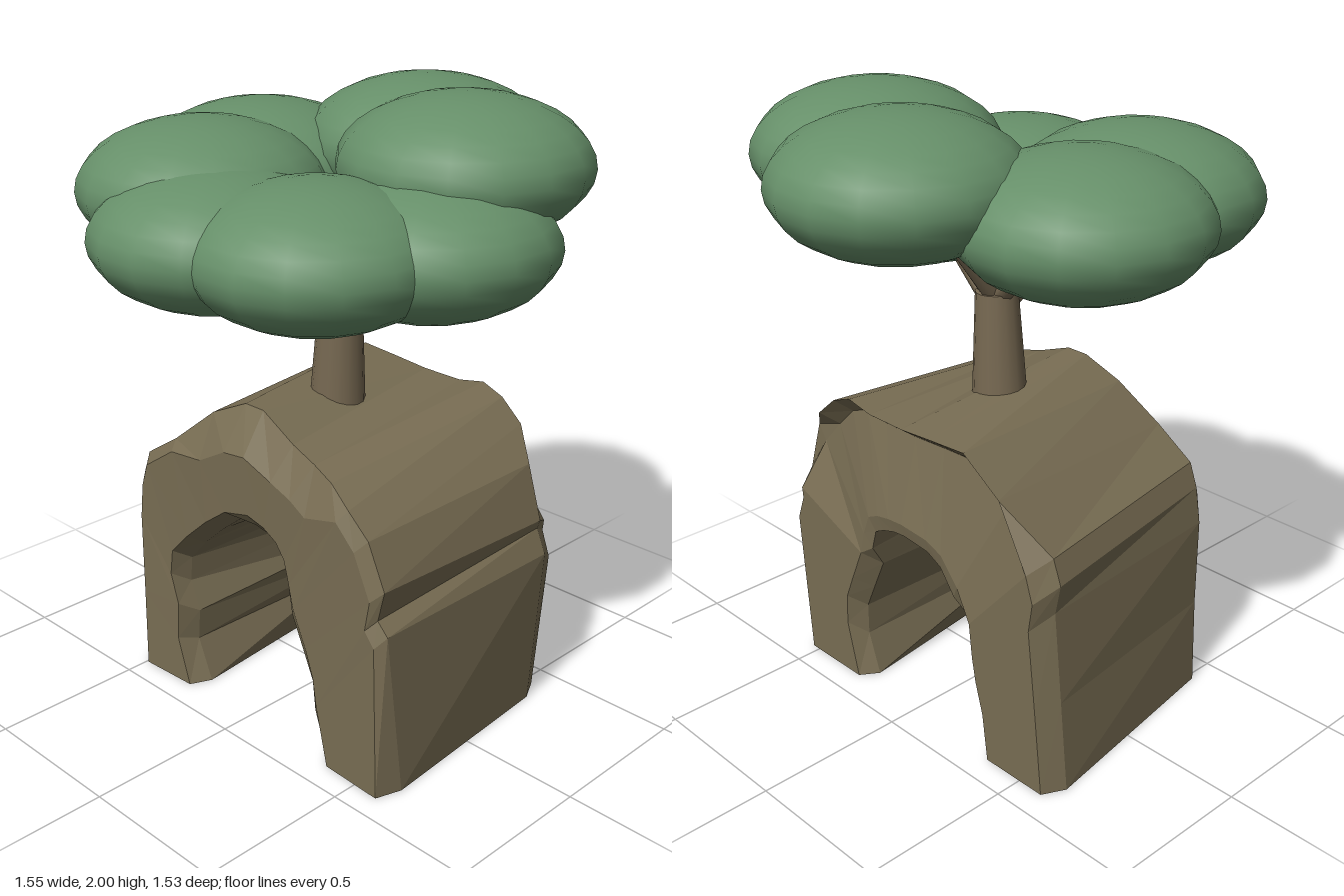
import * as THREE from 'three';

const mat = (name, color) => {
  const m = new THREE.MeshStandardMaterial({ color });
  m.name = name;
  return m;
};

// Tapered limb between two points
function limb(name, from, to, r0, r1, sides, material) {
  const a = new THREE.Vector3(...from), b = new THREE.Vector3(...to);
  const d = b.clone().sub(a);
  const mesh = new THREE.Mesh(new THREE.CylinderGeometry(r1, r0, d.length(), sides), material);
  mesh.position.copy(a).add(b).multiplyScalar(0.5);
  mesh.quaternion.setFromUnitVectors(new THREE.Vector3(0, 1, 0), d.normalize());
  mesh.name = name;
  return mesh;
}

// Arch outlines (x, y), running from the -x foot over the top to the +x foot
const outerFront = [[-.52, 0], [-.51, .3], [-.51, .6], [-.49, .72], [-.46, .8], [-.32, .89], [-.18, 1.01], [-.05, 1.07], [.03, 1.07],
  [.18, 1.01], [.28, .98], [.36, .95], [.45, .9], [.53, .83], [.595, .69], [.57, .59], [.61, .55], [.62, 0]];
const outerBack = [[-.63, 0], [-.6, .3], [-.57, .6], [-.59, .7], [-.56, .78], [-.4, .93], [-.25, 1.03], [-.1, 1.02], [.03, 1.01],
  [.18, 1.01], [.28, 1.03], [.36, 1], [.44, .93], [.53, .84], [.585, .66], [.575, .63], [.61, .55], [.57, 0]];
const innerFront = [[-.25, 0], [-.31, .14], [-.3, .25], [-.34, .35], [-.33, .44], [-.26, .52], [-.17, .6], [-.08, .67], [.03, .7],
  [.09, .69], [.14, .66], [.17, .61], [.18, .53], [.19, .45], [.24, .34], [.28, .25], [.29, .15], [.34, 0]];
const innerBack = [[-.32, 0], [-.3, .14], [-.27, .22], [-.25, .3], [-.24, .42], [-.2, .52], [-.14, .6], [-.08, .63], [.03, .64],
  [.08, .635], [.13, .62], [.17, .6], [.19, .53], [.2, .45], [.25, .34], [.29, .25], [.29, .14], [.24, 0]];

function archGeometry() {
  const mix = (a, b, t) => [a[0] + (b[0] - a[0]) * t, a[1] + (b[1] - a[1]) * t];
  const n = outerFront.length;
  // Each ring is one cut through the arch, with bevelled front and back rims
  const rings = outerFront.map((of, i) => {
    const ob = outerBack[i], nf = innerFront[i], nb = innerBack[i];
    const high = of[1] > 0.9;
    const lowZ = of[0] < 0 ? 0.395 : 0.335 + 0.06 * Math.min(1, of[1] / 0.5);
    return [
      [...ob, ob[1] > 0.9 ? -0.4 : -0.335],
      [...of, high ? 0.39 - (of[1] - 0.9) * 0.33 : lowZ],
      [...mix(of, nf, high ? 0.35 : 0.1), 0.42],
      [...mix(of, nf, 0.88), 0.41],
      [...nf, of[0] < 0 ? 0.34 : 0.375],
      [...nb, nb[1] > 0.5 ? -0.4 : -0.35],
      [...mix(ob, nb, 0.88), -0.41],
      [...mix(ob, nb, 0.12), ob[1] > 0.8 ? -0.34 : -0.41],
    ];
  });
  const rows = rings[0].length;
  const pos = [];
  const tri = (a, b, c) => pos.push(...a, ...b, ...c);
  for (let i = 0; i < n - 1; i++) {
    for (let r = 0; r < rows; r++) {
      const s = (r + 1) % rows;
      const a = rings[i][r], b = rings[i][s], c = rings[i + 1][s], d = rings[i + 1][r];
      tri(a, b, c);
      tri(a, c, d);
    }
  }
  // Soles of the two feet
  const first = rings[0], last = rings[n - 1];
  for (let r = 1; r < rows - 1; r++) {
    tri(first[0], first[r + 1], first[r]);
    tri(last[0], last[r], last[r + 1]);
  }
  const g = new THREE.BufferGeometry();
  g.setAttribute('position', new THREE.Float32BufferAttribute(pos, 3));
  g.computeVertexNormals();
  return g;
}

export function createModel() {
  const group = new THREE.Group();
  group.name = 'treeOnRockArch';
  const rock = mat('rock', 0x786d53);
  const bark = mat('bark', 0x766851);
  const leaf = mat('leaf', 0x668f69);

  const arch = new THREE.Mesh(archGeometry(), rock);
  arch.name = 'rockArch';
  group.add(arch);

  // Trunk
  group.add(limb('trunk', [.012, .98, 0], [.026, 1.36, 0], .09, .068, 16, bark));

  // Leaf clumps, each carried by a branch
  const clumps = [
    [.335, 1.787, -.205], [.022, 1.78, -.385], [-.393, 1.69, -.065], [-.3, 1.69, .265],
    [-.095, 1.6, .384], [.24, 1.6, .315], [.393, 1.6, .01],
  ];
  const crown = new THREE.Group();
  crown.name = 'crown';
  const clumpGeometry = new THREE.SphereGeometry(1, 16, 16);
  clumpGeometry.rotateY(Math.PI / 16);
  for (const c of clumps) {
    const clump = new THREE.Mesh(clumpGeometry, leaf);
    clump.name = 'leafClump';
    clump.position.set(...c);
    clump.scale.set(.387, .213, .387);
    crown.add(clump);
    const tip = [c[0] * .8, c[1] - .06, c[2] * .8];
    const base = [.024, c[1] > 1.65 ? 1.34 : 1.3, 0];
    group.add(limb('branch', base, tip, .038, .022, 8, bark));
  }
  group.add(crown);
  return group;
}
